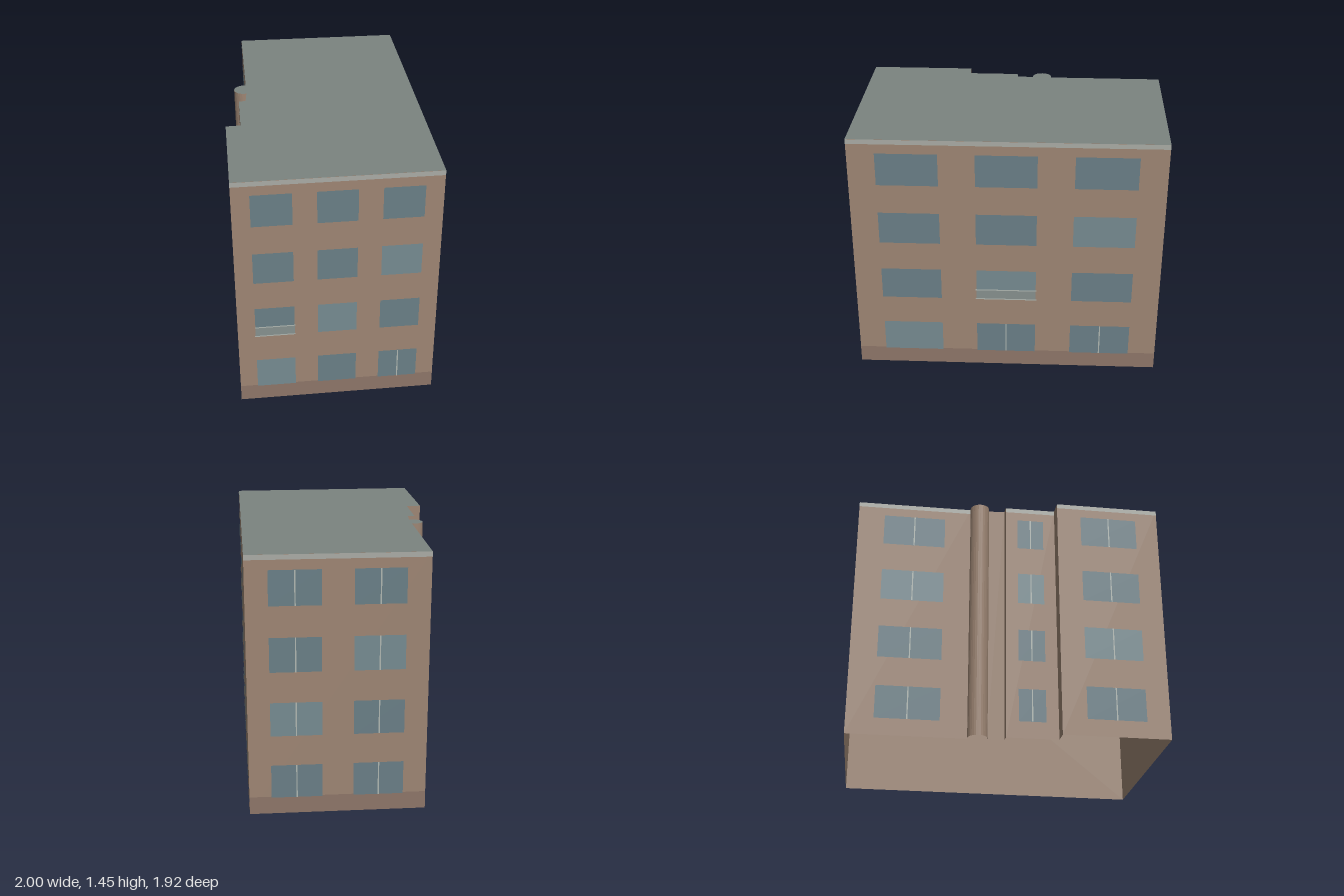
import * as THREE from 'three';
import { mergeGeometries } from 'three/addons/utils/BufferGeometryUtils.js';

const H = 1.445;
const mat = (color, side = THREE.FrontSide) => new THREE.MeshStandardMaterial({ color, side });
const mats = {
  wall: mat(0x9e8674, THREE.DoubleSide),
  plinth: mat(0x8e7669),
  band: mat(0xaaaca5),
  roof: mat(0x7c8480, THREE.DoubleSide),
  glass: mat(0x6a7f87),
  paleGlass: mat(0x768b91),
  frame: mat(0xb0b8b2),
  railing: mat(0x87918f),
};

// Upright rectangle on the wall from a to b, between fractions t0..t1 and heights y0..y1
function panel(a, b, t0, t1, y0, y1, offset = 0) {
  const dx = b[0] - a[0], dz = b[1] - a[1], len = Math.hypot(dx, dz), t = (t0 + t1) / 2;
  const g = new THREE.PlaneGeometry(len * (t1 - t0), y1 - y0);
  g.translate(0, 0, offset);
  g.rotateY(Math.atan2(-dz, dx));
  g.translate(a[0] + dx * t, (y0 + y1) / 2, a[1] + dz * t);
  return g;
}

export function createModel() {
  const group = new THREE.Group();
  group.name = 'apartmentBlock';
  const parts = {};
  const add = (name, material, g) => (parts[name] ??= { material, list: [] }).list.push(g);

  // Corners of the plan as [x, z]
  const left = [-1, 0.19], front = [-0.215, 0.96], right = [1, -0.28], back = [0.325, -0.96];
  const arc = [];
  for (let i = 0; i <= 16; i++) {
    const a = THREE.MathUtils.degToRad(-30 - (210 * i) / 16);
    arc.push([-0.185 + 0.055 * Math.cos(a), -0.468 + 0.055 * Math.sin(a)]);
  }
  const bayA = [-0.315, -0.385], bayB = [-0.52, -0.18], wingA = [-0.58, -0.235];
  const plan = [left, front, right, back, ...arc, [-0.285, -0.36], bayA, bayB, wingA];

  // Outer walls, open underneath
  plan.forEach((p, i) => add('walls', mats.wall, panel(p, plan[(i + 1) % plan.length], 0, 1, 0, H)));

  // Flat roof
  const shape = new THREE.Shape(plan.map(([x, z]) => new THREE.Vector2(x, -z)));
  add('roof', mats.roof, new THREE.ShapeGeometry(shape).rotateX(-Math.PI / 2).translate(0, H, 0));

  // Facades: window columns, which windows have a mullion, which glass is paler
  const three = [[0.088, 0.284], [0.4, 0.595], [0.712, 0.91]];
  const facades = [
    { a: left, b: front, cols: three, plinth: true, split: (f, c) => f === 0 && c === 2, pale: (f, c) => f === c, balcony: 0 },
    { a: front, b: right, cols: three, plinth: true, split: (f, c) => f === 0 && c > 0, pale: (f, c) => f === c, balcony: 1 },
    { a: right, b: back, cols: [[0.125, 0.412], [0.588, 0.87]], plinth: true, split: () => true, pale: (f, c) => f === c + 1 },
    { a: back, b: arc[0], cols: [[0.23, 0.77]], split: () => true, pale: (f) => f === 2 },
    { a: bayA, b: bayB, cols: [[0.24, 0.76]], split: () => true, pale: (f) => f === 2 },
    { a: wingA, b: left, cols: [[0.23, 0.78]], split: () => true, pale: (f) => f === 1 },
  ];
  for (const { a, b, cols, plinth, split, pale, balcony } of facades) {
    const len = Math.hypot(b[0] - a[0], b[1] - a[1]);
    add('roofEdge', mats.band, panel(a, b, 0, 1, H - 0.027, H, 0.002));
    if (plinth) add('plinth', mats.plinth, panel(a, b, 0, 1, 0, 0.1, 0.002));
    for (let f = 0; f < 4; f++) {
      const y = 0.095 + f * 0.36;
      cols.forEach(([t0, t1], c) => {
        const light = pale(f, c);
        add(light ? 'paleWindows' : 'windows', light ? mats.paleGlass : mats.glass, panel(a, b, t0, t1, y, y + 0.19, 0.004));
        if (split(f, c)) {
          const t = (t0 + t1) / 2, w = 0.0035 / len;
          add('mullions', mats.frame, panel(a, b, t - w, t + w, y, y + 0.19, 0.006));
        }
        // Shallow railing in front of one first-floor window
        if (f === 1 && c === balcony) {
          add('balconyPanels', mats.railing, panel(a, b, t0, t1, y, y + 0.065, 0.006));
          for (const ry of [y, y + 0.06]) add('balconyRails', mats.frame, panel(a, b, t0 - 0.003, t1 + 0.003, ry, ry + 0.007, 0.008));
        }
      });
    }
  }

  for (const [name, { material, list }] of Object.entries(parts)) {
    const mesh = new THREE.Mesh(mergeGeometries(list), material);
    mesh.name = name;
    group.add(mesh);
  }
  return group;
}
